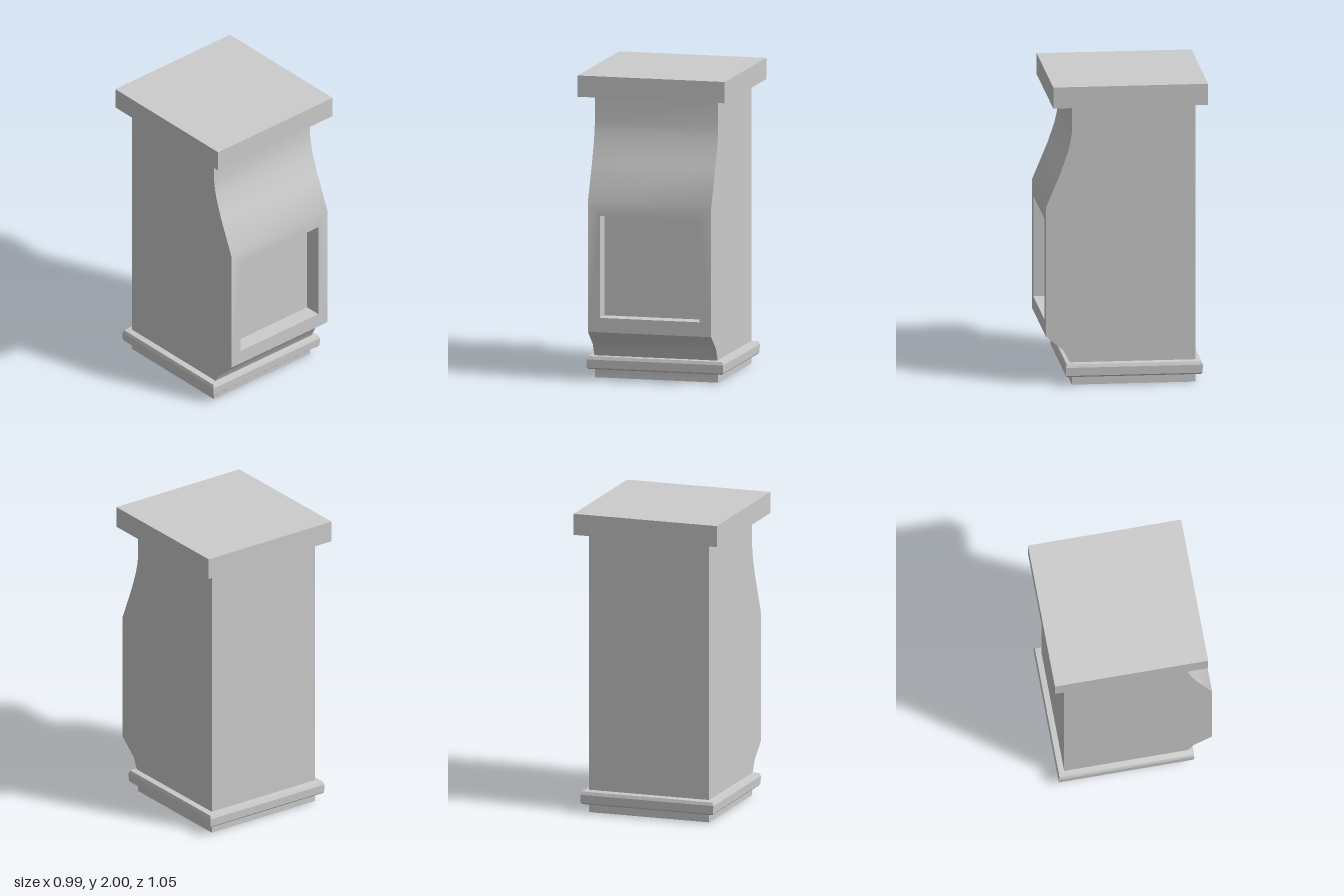
import * as THREE from 'three';
import { mergeGeometries, toCreasedNormals } from 'three/addons/utils/BufferGeometryUtils.js';

const material = new THREE.MeshStandardMaterial({ color: 0xcccccc });
const HALF_W = 0.415, FRONT = 0.525, BACK = -0.45, STEM = 0.355;
const PANEL_LOW = 0.325, PANEL_HIGH = 1.18;
const RECESS = 0.67, RECESS_Y = 0.755, RECESS_DEPTH = 0.11;

// Side outline as [z, y], from the foot of the front panel round the back to its top
const outline = [
  [FRONT, PANEL_LOW], [0.405, 0.225], [0.382, 0.175], [STEM, 0.125], [STEM, 0],
  [BACK, 0], [BACK, 1.86],
  [STEM, 1.86], [STEM, 1.68], [0.364, 1.62], [0.38, 1.55], [0.425, 1.42], [FRONT, PANEL_HIGH],
];

function add(group, name, geometry) {
  const mesh = new THREE.Mesh(geometry, material);
  mesh.name = name;
  group.add(mesh);
  return mesh;
}

// Full-width ribbon that follows the outline
function wrapGeometry() {
  const g = new THREE.PlaneGeometry(2 * HALF_W, 1, 1, outline.length - 1);
  const p = g.attributes.position;
  for (let i = 0; i < p.count; i++) {
    const [z, y] = outline[Math.floor(i / 2)];
    p.setXYZ(i, p.getX(i), y, z);
  }
  return g;
}

// Flat side wall, s = +1 for left, -1 for right
function sideGeometry(s) {
  const shape = new THREE.Shape(outline.map(([z, y]) => new THREE.Vector2(-s * z, y)));
  return new THREE.ShapeGeometry(shape).rotateY(s * Math.PI / 2).translate(s * HALF_W, 0, 0);
}

function rectangle(target, x, y0, y1) {
  return target.moveTo(-x, y0).lineTo(x, y0).lineTo(x, y1).lineTo(-x, y1).closePath();
}

// Front panel with a square opening
function frontGeometry() {
  const shape = rectangle(new THREE.Shape(), HALF_W, PANEL_LOW, PANEL_HIGH);
  const h = RECESS / 2;
  shape.holes.push(rectangle(new THREE.Path(), h, RECESS_Y - h, RECESS_Y + h));
  return new THREE.ShapeGeometry(shape).translate(0, 0, FRONT);
}

// Four walls and the back of the recess
function recessGeometry() {
  const parts = [new THREE.PlaneGeometry(RECESS, RECESS).translate(0, 0, -RECESS_DEPTH)];
  for (let i = 0; i < 4; i++) {
    parts.push(new THREE.PlaneGeometry(RECESS, RECESS_DEPTH).rotateX(-Math.PI / 2)
      .translate(0, -RECESS / 2, -RECESS_DEPTH / 2).rotateZ(i * Math.PI / 2));
  }
  return mergeGeometries(parts);
}

// Mitred moulding: profile of [outset, y] swept round the rectangular base
function mouldingGeometry() {
  const profile = [[0, 0.058], [0.032, 0.058], [0.043, 0.068], [0.045, 0.122], [0.037, 0.143], [0, 0.149]];
  const g = new THREE.LatheGeometry(
    profile.map(([o, y]) => new THREE.Vector2(1 + o, y)), 4, Math.PI / 4);
  const p = g.attributes.position;
  const halfD = (STEM - BACK) / 2, midZ = (STEM + BACK) / 2;
  for (let i = 0; i < p.count; i++) {
    const x = p.getX(i), z = p.getZ(i), o = Math.hypot(x, z) - 1;
    p.setX(i, Math.sign(x) * (HALF_W + o));
    p.setZ(i, midZ + Math.sign(z) * (halfD + o));
  }
  return toCreasedNormals(g, 0.3);
}

export function createModel() {
  const group = new THREE.Group();
  group.name = 'pedestal';

  const body = mergeGeometries([wrapGeometry(), frontGeometry(), sideGeometry(1), sideGeometry(-1)]);
  add(group, 'body', toCreasedNormals(body, 0.6));
  add(group, 'panelRecess', recessGeometry()).position.set(0, RECESS_Y, FRONT);
  add(group, 'baseMoulding', mouldingGeometry());

  // Overhanging slab on top
  add(group, 'capSlab', new THREE.BoxGeometry(0.99, 0.14, 1.01)).position.set(0, 1.93, -0.02);
  return group;
}
